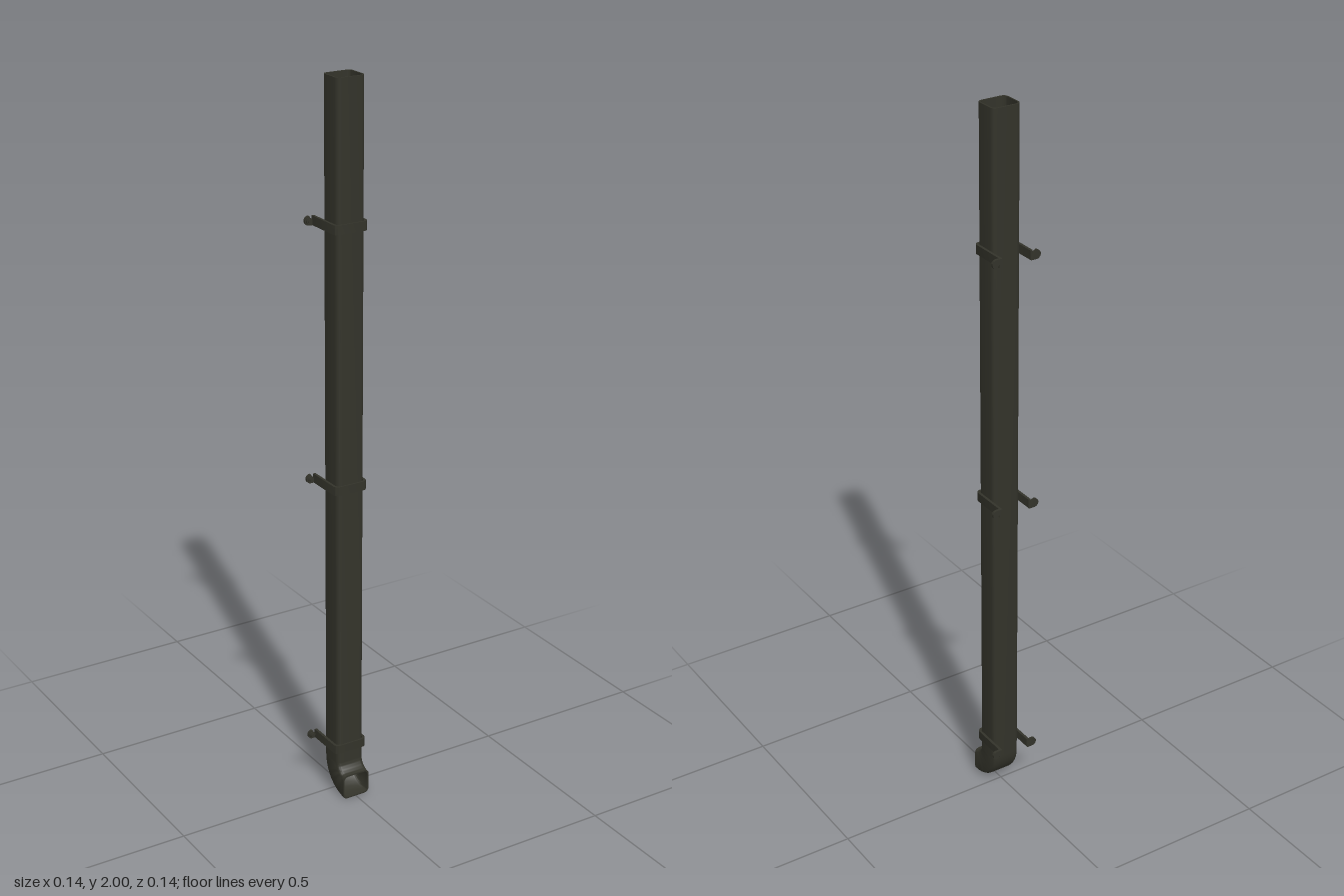
import * as THREE from 'three';
import { toCreasedNormals } from 'three/addons/utils/BufferGeometryUtils.js';

const HALF_W = 0.041, HALF_D = 0.036, PIPE_Z = 0.007, WALL = 0.004;
const BEND = { y: 0.1, z: 0.071 };           // centre of the outlet bend
const BRACKET_HEIGHTS = [0.145, 0.918, 1.622];
const BRACKET_H = 0.025;

// Rounded rectangle as a loop of [across, depth] points
function section(hw, hd, r, steps = 4) {
  const pts = [];
  [[1, 1], [-1, 1], [-1, -1], [1, -1]].forEach(([sx, sy], q) => {
    for (let i = 0; i <= steps; i++) {
      const a = (q + i / steps) * Math.PI / 2;
      pts.push([sx * (hw - r) + r * Math.cos(a), sy * (hd - r) + r * Math.sin(a)]);
    }
  });
  return pts;
}

// Hollow pipe: sweep the outer skin down the path, then the inner skin back up
function pipeGeometry() {
  const frames = [{ y: 2, z: PIPE_Z, a: 0 }];
  const R = BEND.z - PIPE_Z, steps = 10;
  for (let i = 0; i <= steps; i++) {
    const a = i / steps * Math.PI / 2;
    frames.push({ y: BEND.y - R * Math.sin(a), z: BEND.z - R * Math.cos(a), a });
  }
  const ring = (f, pts) => pts.map(([u, v]) => [u, f.y + v * Math.sin(f.a), f.z + v * Math.cos(f.a)]);
  const outer = section(HALF_W, HALF_D, 0.013);
  const inner = section(HALF_W - WALL, HALF_D - WALL, 0.011);
  const rings = [
    ...frames.map(f => ring(f, outer)),
    ...[...frames].reverse().map(f => ring(f, inner)),
  ];
  const n = outer.length, index = [];
  for (let i = 0; i < rings.length; i++) {
    const i2 = (i + 1) % rings.length;
    for (let j = 0; j < n; j++) {
      const j2 = (j + 1) % n;
      const a = i * n + j, b = i * n + j2, c = i2 * n + j, d = i2 * n + j2;
      index.push(a, b, c, b, d, c);
    }
  }
  const g = new THREE.BufferGeometry();
  g.setAttribute('position', new THREE.Float32BufferAttribute(rings.flat(2), 3));
  g.setIndex(index);
  return toCreasedNormals(g, 0.6);
}

// U-shaped strap wrapped round the front and sides of the pipe
function strapGeometry() {
  const w = 0.049, t = 0.007, front = 0.047, back = -0.068, r = 0.014;
  const s = new THREE.Shape();
  s.moveTo(w, back);
  s.lineTo(w, front - r);
  s.absarc(w - r, front - r, r, 0, Math.PI / 2, false);
  s.absarc(-w + r, front - r, r, Math.PI / 2, Math.PI, false);
  s.lineTo(-w, back);
  s.lineTo(-w + t, back);
  s.absarc(-w + r, front - r, r - t, Math.PI, Math.PI / 2, true);
  s.absarc(w - r, front - r, r - t, Math.PI / 2, 0, true);
  s.lineTo(w - t, back);
  const g = new THREE.ExtrudeGeometry(s, { depth: BRACKET_H, bevelEnabled: false, curveSegments: 5 });
  g.rotateX(Math.PI / 2).translate(0, BRACKET_H / 2, 0);
  return toCreasedNormals(g, 0.6);
}

// Wall tab with a rounded outer end
function tabGeometry() {
  const r = BRACKET_H / 2, s = new THREE.Shape();
  s.moveTo(0.042, -r);
  s.absarc(0.0705 - r, 0, r, -Math.PI / 2, Math.PI / 2, false);
  s.lineTo(0.042, r);
  const g = new THREE.ExtrudeGeometry(s, { depth: 0.007, bevelEnabled: false, curveSegments: 10 });
  g.translate(0, 0, -0.072);
  return toCreasedNormals(g, 0.6);
}

export function createModel() {
  const metal = new THREE.MeshStandardMaterial({ color: 0x33332a });
  metal.name = 'dark metal';
  const model = new THREE.Group();
  model.name = 'drainpipe';
  const add = (parent, name, geometry) => {
    const m = new THREE.Mesh(geometry, metal);
    m.name = name;
    parent.add(m);
    return m;
  };

  add(model, 'pipe', pipeGeometry());

  // Wall brackets
  const strap = strapGeometry(), tab = tabGeometry();
  const washer = new THREE.CylinderGeometry(0.0085, 0.0085, 0.004, 14).rotateX(Math.PI / 2);
  const bolt = new THREE.CylinderGeometry(0.006, 0.006, 0.004, 6).rotateX(Math.PI / 2);
  for (const y of BRACKET_HEIGHTS) {
    const bracket = new THREE.Group();
    bracket.name = 'bracket';
    bracket.position.y = y;
    add(bracket, 'strap', strap);
    for (const side of [1, -1]) {
      const label = side > 0 ? 'left' : 'right';
      const plate = add(bracket, label + 'Tab', tab);
      if (side < 0) {
        // Half turn about the depth axis mirrors the symmetric tab
        plate.rotation.z = Math.PI;
      }
      add(bracket, label + 'Washer', washer).position.set(side * 0.059, 0, -0.063);
      add(bracket, label + 'BoltHead', bolt).position.set(side * 0.059, 0, -0.0595);
    }
    model.add(bracket);
  }
  return model;
}
